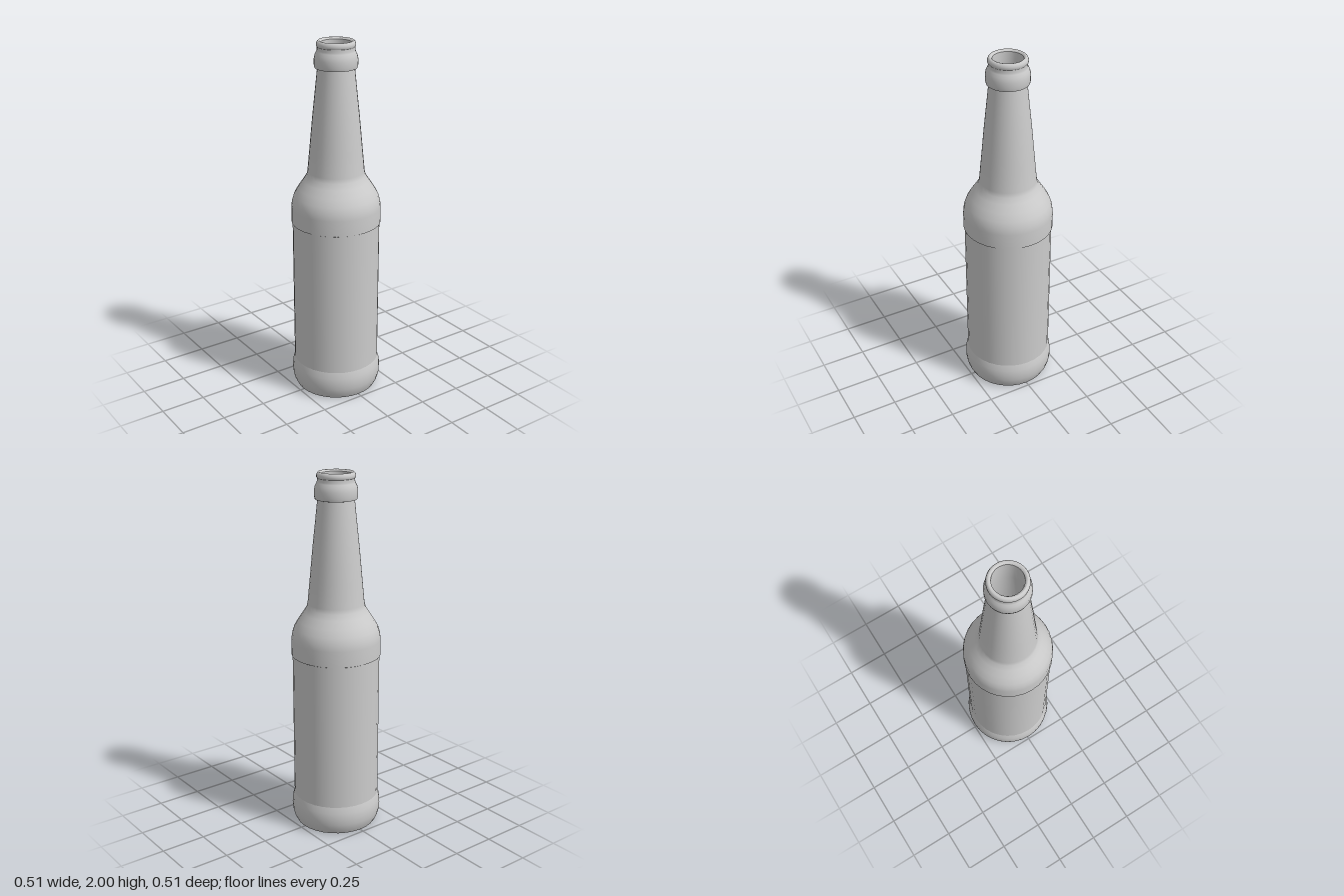
import * as THREE from 'three';

const SIDES = 32;
const material = new THREE.MeshStandardMaterial({ color: 0xcccccc, side: THREE.DoubleSide });

// Revolve a [radius, height] profile; separate bands keep hard edges between them
function band(name, profile) {
  const points = profile.map(([r, y]) => new THREE.Vector2(r, y));
  const mesh = new THREE.Mesh(new THREE.LatheGeometry(points, SIDES), material);
  mesh.name = name;
  return mesh;
}

export function createModel() {
  const bottle = new THREE.Group();
  bottle.name = 'bottle';
  bottle.add(
    // Slightly dished underside
    band('underside', [[0, 0.02], [0.1, 0.015], [0.18, 0.004], [0.205, 0], [0.228, 0.003]]),
    // Rounded heel
    band('heel', [[0.228, 0.003], [0.243, 0.032], [0.251, 0.065], [0.253, 0.1],
      [0.25, 0.135], [0.24, 0.17]]),
    // Straight body, recessed below the shoulder
    band('body', [[0.24, 0.17], [0.24, 1.0]]),
    band('shoulderStep', [[0.24, 1.0], [0.246, 1.003]]),
    band('shoulder', [[0.246, 1.003], [0.246, 1.09], [0.241, 1.125], [0.23, 1.16],
      [0.207, 1.2], [0.18, 1.24], [0.161, 1.27], [0.155, 1.295],
      [0.142, 1.43], [0.126, 1.6], [0.111, 1.74], [0.099, 1.855]]),
    // Collar ring under the mouth
    band('collarUnderside', [[0.099, 1.855], [0.112, 1.858]]),
    band('collar', [[0.112, 1.858], [0.116, 1.875], [0.116, 1.905], [0.111, 1.928],
      [0.103, 1.943], [0.1, 1.952], [0.1, 1.968]]),
    // Rounded lip
    band('lip', [[0.1, 1.968], [0.104, 1.973], [0.104, 1.984], [0.1, 1.994],
      [0.093, 2.0], [0.085, 1.998], [0.079, 1.99]]),
    // Inner wall and floor
    band('innerWall', [[0.079, 1.99], [0.078, 1.95], [0.08, 1.85], [0.136, 1.29],
      [0.19, 1.19], [0.225, 1.09], [0.225, 0.06]]),
    band('innerFloor', [[0.225, 0.06], [0, 0.06]])
  );
  return bottle;
}
